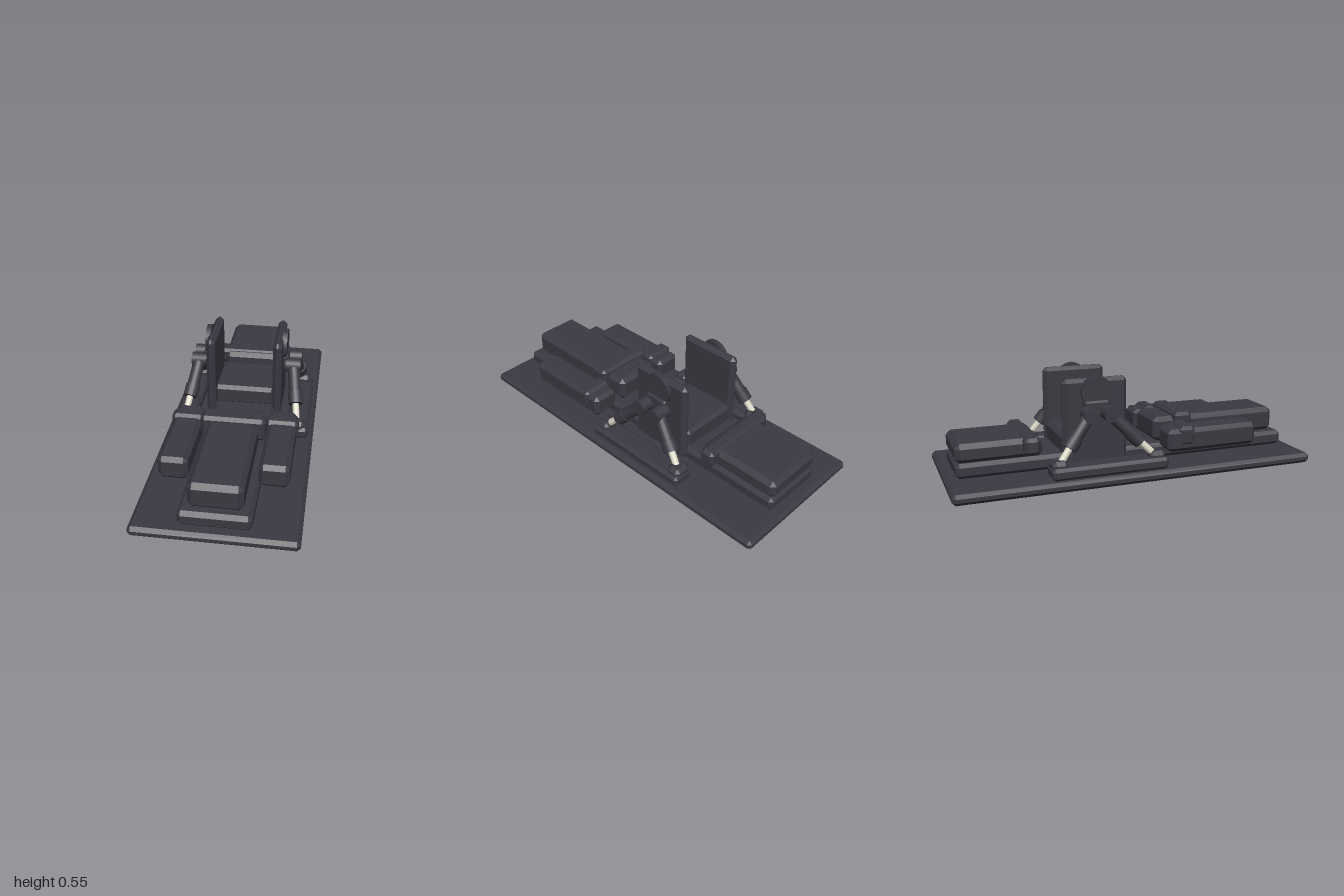
import * as THREE from 'three';
import { ConvexGeometry } from 'three/addons/geometries/ConvexGeometry.js';

const dark = new THREE.MeshStandardMaterial({ name: 'charcoal', color: 0x3a3942 });
const pale = new THREE.MeshStandardMaterial({ name: 'ivory', color: 0xdcd8c8 });

// Box with flat chamfered edges, given by its [min, max] extents
function block(parent, name, [x0, x1], [y0, y1], [z0, z1], c = 0.02) {
  const h = [(x1 - x0) / 2, (y1 - y0) / 2, (z1 - z0) / 2];
  const points = [];
  for (const sx of [-1, 1]) for (const sy of [-1, 1]) for (const sz of [-1, 1]) {
    for (let axis = 0; axis < 3; axis++) {
      const p = h.map((v, i) => (i === axis ? v : v - c));
      points.push(new THREE.Vector3(p[0] * sx, p[1] * sy, p[2] * sz));
    }
  }
  const mesh = new THREE.Mesh(new ConvexGeometry(points), dark);
  mesh.name = name;
  mesh.position.set((x0 + x1) / 2, (y0 + y1) / 2, (z0 + z1) / 2);
  parent.add(mesh);
}

// Place a y-axis geometry between two points
function span(parent, name, geometry, material, a, b) {
  const mesh = new THREE.Mesh(geometry, material);
  mesh.name = name;
  mesh.position.copy(a).add(b).multiplyScalar(0.5);
  mesh.quaternion.setFromUnitVectors(new THREE.Vector3(0, 1, 0), b.clone().sub(a).normalize());
  parent.add(mesh);
}

function rod(parent, name, material, a, b, r) {
  span(parent, name, new THREE.CylinderGeometry(r, r, a.distanceTo(b), 20), material, a, b);
}

// Ribbed piston rod
function ribbedRod(parent, a, b) {
  const len = a.distanceTo(b), ribs = 9, profile = [];
  for (let i = 0; i <= ribs * 2; i++) {
    profile.push(new THREE.Vector2(i % 2 ? 0.02 : 0.017, (i / (ribs * 2) - 0.5) * len));
  }
  span(parent, 'pistonRod', new THREE.LatheGeometry(profile, 16), pale, a, b);
}

// One telescopic arm from the pivot down to its foot
function arm(parent, jointZ, footZ) {
  const top = new THREE.Vector3(0.272, 0.357, jointZ);
  const foot = new THREE.Vector3(0.318, 0.115, footZ);
  const at = t => top.clone().lerp(foot, t);
  const g = new THREE.Group();
  g.name = 'telescopicArm';
  rod(g, 'armJoint', dark, new THREE.Vector3(0.228, 0.357, jointZ), new THREE.Vector3(0.313, 0.357, jointZ), 0.04);
  rod(g, 'armSleeve', dark, top, at(0.5), 0.034);
  rod(g, 'armCollar', dark, at(0.46), at(0.66), 0.04);
  ribbedRod(g, at(0.62), foot);
  parent.add(g);
}

// Everything that exists on both sides; s is the side sign
function sideAssembly(s) {
  const g = new THREE.Group();
  g.name = s > 0 ? 'leftSide' : 'rightSide';
  const x = (a, b) => (s > 0 ? [a, b] : [-b, -a]);
  block(g, 'sidePanel', x(0.163, 0.213), [0.075, 0.535], [-0.39, -0.035]);
  block(g, 'armRest', x(0.175, 0.328), [0.12, 0.245], [0.16, 0.69], 0.022);
  block(g, 'armStrap', x(0.165, 0.338), [0.155, 0.26], [0.225, 0.31], 0.018);
  block(g, 'footRail', x(0.26, 0.383), [0.053, 0.117], [-0.495, 0.14], 0.016);

  // Pivot plate and arms are modelled on +x, then mirrored in place
  const left = new THREE.Group();
  left.name = 'liftMechanism';
  rod(left, 'pivotDisc', dark, new THREE.Vector3(0.205, 0.465, -0.212), new THREE.Vector3(0.233, 0.465, -0.212), 0.085);
  block(left, 'pivotBracket', [0.205, 0.245], [0.335, 0.42], [-0.28, -0.145], 0.01);
  arm(left, -0.158, 0.085);
  arm(left, -0.266, -0.45);
  block(left, 'frontFoot', [0.275, 0.365], [0.09, 0.148], [0.045, 0.13], 0.02);
  block(left, 'rearFoot', [0.265, 0.365], [0.09, 0.148], [-0.49, -0.405], 0.02);
  left.scale.x = s;
  g.add(left);
  return g;
}

export function createModel() {
  const model = new THREE.Group();
  model.name = 'paddedTable';
  block(model, 'basePlate', [-0.41, 0.41], [0, 0.055], [-1, 1], 0.018);
  block(model, 'centreSlab', [-0.18, 0.18], [0.053, 0.135], [-0.945, 0.95]);

  // Front, middle and rear cushions with their straps
  block(model, 'frontCushion', [-0.135, 0.135], [0.132, 0.27], [0.155, 0.912], 0.025);
  block(model, 'frontStrap', [-0.17, 0.17], [0.17, 0.296], [0.27, 0.37], 0.018);
  block(model, 'middleCushion', [-0.175, 0.175], [0.12, 0.235], [-0.385, -0.07]);
  block(model, 'rearCushion', [-0.177, 0.177], [0.132, 0.235], [-0.945, -0.49], 0.025);
  block(model, 'rearStrap', [-0.23, 0.23], [0.155, 0.245], [-0.598, -0.515], 0.018);

  for (const s of [1, -1]) model.add(sideAssembly(s));
  return model;
}
